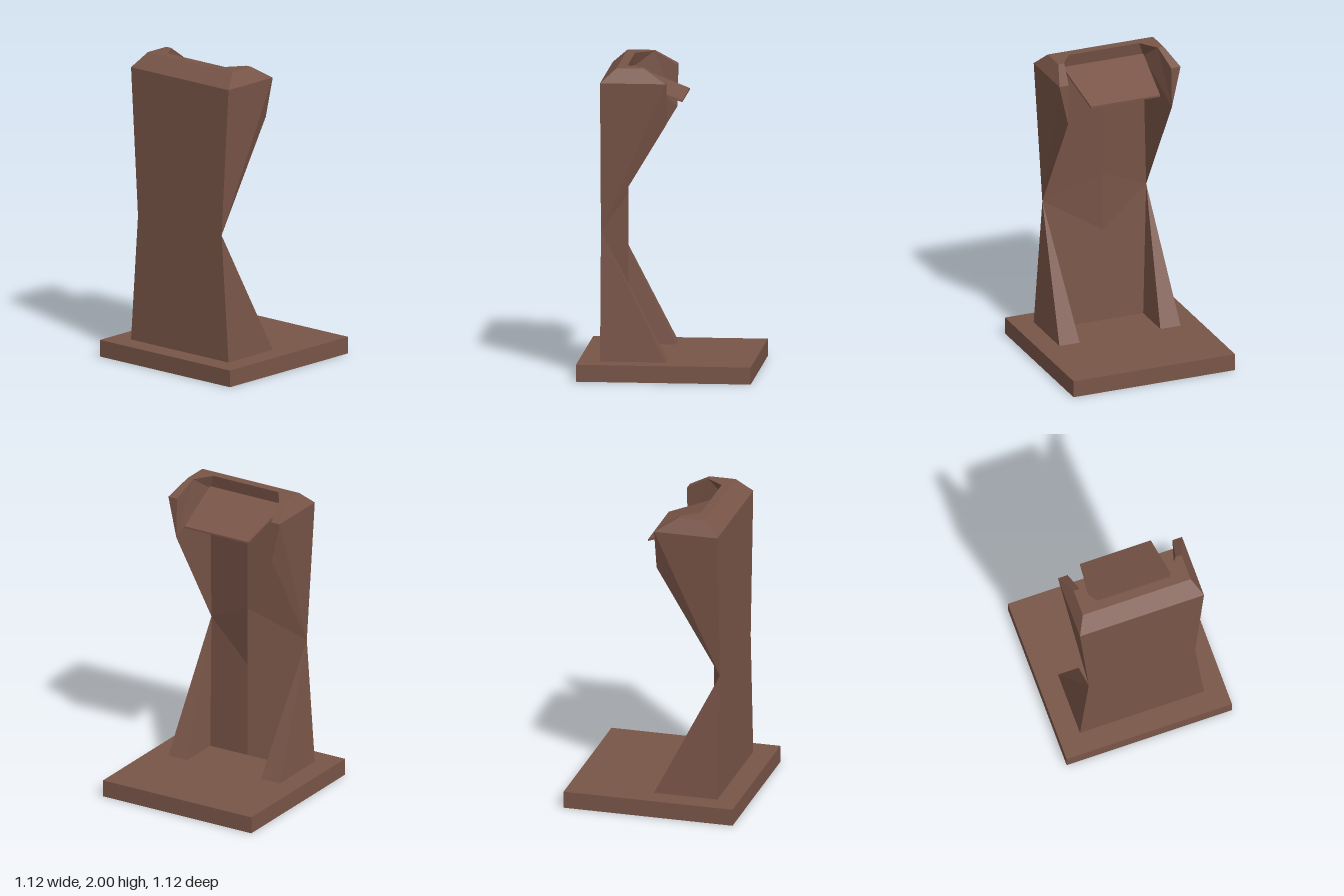
import * as THREE from 'three';

// Flat faces for the x > 0 half, mirrored to the other side.
// Each face is [corners, outward hint]; one flat normal per face.
function mirroredFaces(faces) {
  const pos = [], nor = [];
  for (const s of [1, -1]) {
    for (const [corners, hint] of faces) {
      let p = corners.map(([x, y, z]) => new THREE.Vector3(s * x, y, z));
      const n = new THREE.Vector3();
      for (let i = 0; i < p.length; i++) n.add(p[i].clone().cross(p[(i + 1) % p.length]));
      n.normalize();
      if (n.dot(new THREE.Vector3(s * hint[0], hint[1], hint[2])) < 0) {
        n.negate();
        p = [p[0], ...p.slice(1).reverse()];
      }
      for (let i = 1; i < p.length - 1; i++) {
        for (const v of [p[0], p[i], p[i + 1]]) {
          pos.push(v.x, v.y, v.z);
          nor.push(n.x, n.y, n.z);
        }
      }
    }
  }
  const g = new THREE.BufferGeometry();
  g.setAttribute('position', new THREE.Float32BufferAttribute(pos, 3));
  g.setAttribute('normal', new THREE.Float32BufferAttribute(nor, 3));
  return g;
}

export function createModel() {
  const group = new THREE.Group();
  group.name = 'lectern';
  const wood = new THREE.MeshStandardMaterial({ color: 0x795548 });
  wood.name = 'brown wood';

  const add = (name, geometry) => {
    const mesh = new THREE.Mesh(geometry, wood);
    mesh.name = name;
    group.add(mesh);
    return mesh;
  };

  // Square foot
  add('base', new THREE.BoxGeometry(1.12, 0.11, 1.12)).position.y = 0.055;

  // Key corners of the body
  const y0 = 0.11, y1 = 1.91, top = 2, front = 0.42, back = 0.28;
  const waist = [0.36, 0.94, front];
  const footFront = [0.42, y0, front], footBack = [0.42, y0, 0];
  const footInner = [0.28, y0, 0], footCorner = [0.28, y0, back];
  const rimFront = [0.42, y1, front], rimBack = [0.42, y1, 0];
  const wingTop = [0.355, y1, 0], wingTip = [0.36, 1.64, 0];
  const topFront = [0.365, top, 0.32], topBack = [0.365, top, 0.145];
  const topInner = [0.325, top, 0.145], topCorner = [0.245, top, 0.26];
  const cavity = [0.28, 1.9, back];
  const mid = (y, z) => [0, y, z];
  const spine = [y0, 0.74, 1.13, 1.9].map((y) => mid(y, back));

  // Front panel, pinched at the waist
  add('frontPanel', mirroredFaces([
    [[mid(y0, front), footFront, waist, mid(0.94, front)], [0, 0, 1]],
    [[mid(0.94, front), waist, rimFront, mid(y1, front)], [0, 0, 1]],
  ]));

  // Bevelled rim around the top
  add('topRim', mirroredFaces([
    [[mid(y1, front), rimFront, topFront, mid(top, 0.32)], [0, 1, 1]],
    [[rimFront, rimBack, topBack, topFront], [1, 1, 0]],
    [[rimBack, wingTop, topInner, topBack], [0, 1, -1]],
    [[topCorner, mid(top, 0.26), mid(top, 0.32), topFront, topBack, topInner], [0, 1, 0]],
    [[cavity, spine[3], mid(top, 0.26), topCorner], [0, 0, -1]],
  ]));

  // Lower legs tapering up to the waist
  add('legs', mirroredFaces([
    [[footFront, footBack, waist], [1, 0, 0]],
    [[footBack, footInner, waist], [0, 1, -1]],
    [[footInner, footCorner, waist], [-1, 0, 0]],
  ]));

  // Upper wings flaring out from the waist
  add('wings', mirroredFaces([
    [[rimFront, rimBack, waist], [1, 0, 0]],
    [[rimBack, wingTip, waist], [1, 0, 0]],
    [[rimBack, wingTop, wingTip], [0, 0, -1]],
    [[wingTip, waist, cavity], [-1, 0, 0]],
    [[wingTop, topInner, wingTip], [-1, 0, 0]],
    [[wingTip, topInner, cavity], [-1, 0, 0]],
    [[topInner, cavity, topCorner], [-1, 0, 0]],
  ]));

  // Ridged wall at the back of the front panel
  add('backWall', mirroredFaces([
    [[waist, footCorner, spine[0], spine[1]], [0, 0, -1]],
    [[waist, spine[1], spine[2]], [0, 0, -1]],
    [[waist, spine[2], spine[3], cavity], [0, 0, -1]],
  ]));

  // Sloping reading plate, narrower toward the reader
  const plate = new THREE.BoxGeometry(1, 0.012, 1);
  const p = plate.attributes.position;
  for (let i = 0; i < p.count; i++) {
    const far = p.getZ(i) > 0;
    p.setXYZ(i, Math.sign(p.getX(i)) * (far ? 0.28 : 0.24),
      p.getY(i) + (far ? 1.91 : 1.772), far ? 0.28 : -0.09);
  }
  plate.computeVertexNormals();
  add('readingPlate', plate);

  return group;
}
